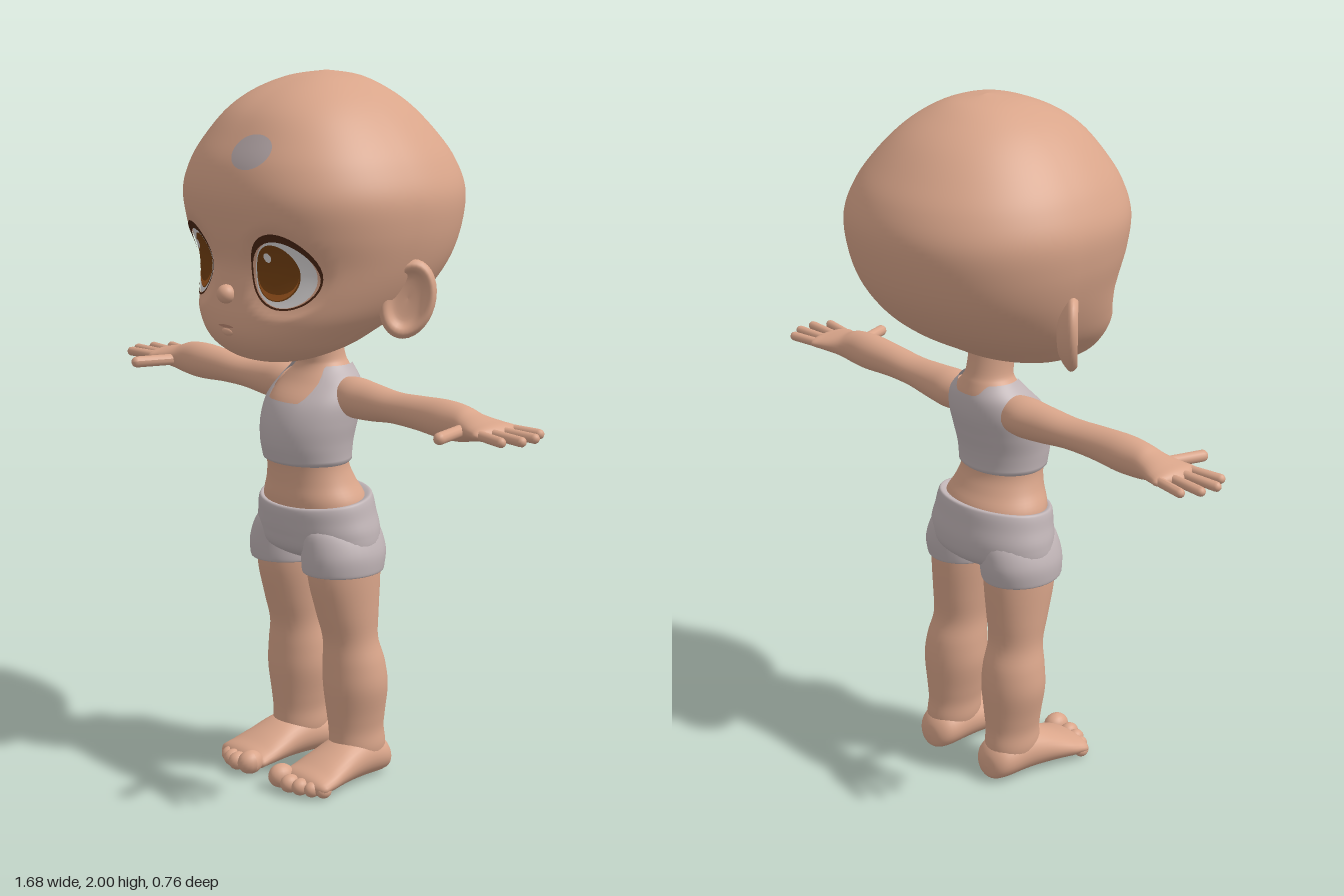
import * as THREE from 'three';

const mat = (name, color, side = THREE.FrontSide) => {
  const m = new THREE.MeshStandardMaterial({ color, side });
  m.name = name;
  return m;
};

// Smooth interpolation through a list of cross-sections, s in 0..1
function sample(secs, s) {
  const f = Math.min(Math.max(s, 0), 1) * (secs.length - 1);
  const i = Math.min(Math.floor(f), secs.length - 2), t = f - i;
  const p = k => secs[Math.min(Math.max(k, 0), secs.length - 1)];
  return secs[i].map((b, k) => {
    const a = p(i - 1)[k], c = p(i + 1)[k], d = p(i + 2)[k];
    return b + 0.5 * t * (c - a + t * (2 * a - 5 * b + 4 * c - d + t * (3 * (b - c) + d - a)));
  });
}

// Cross-section at a given height, for sections that rise steadily
function sectionAt(secs, y) {
  let lo = 0, hi = 1;
  for (let k = 0; k < 24; k++) {
    const mid = (lo + hi) / 2;
    if (sample(secs, mid)[0] < y) lo = mid; else hi = mid;
  }
  return sample(secs, lo);
}

// Grid of points closed around its columns: fn(t, angle) -> [x, y, z]
function grid(rows, cols, fn) {
  const pos = [], idx = [];
  for (let i = 0; i <= rows; i++)
    for (let j = 0; j < cols; j++) pos.push(...fn(i / rows, (j / cols) * Math.PI * 2));
  for (let i = 0; i < rows; i++)
    for (let j = 0; j < cols; j++) {
      const a = i * cols + j, b = i * cols + (j + 1) % cols;
      idx.push(a, b, b + cols, a, b + cols, a + cols);
    }
  const g = new THREE.BufferGeometry();
  g.setAttribute('position', new THREE.Float32BufferAttribute(pos, 3));
  g.setIndex(idx);
  g.computeVertexNormals();
  return g;
}

// Point on a rounded section [along, centreU, centreV, radiusU, radiusV]
function ringPoint(r, a, n = 2, grow = 0) {
  const pw = v => Math.sign(v) * Math.abs(v) ** (2 / n);
  return [r[1] + (Math.max(0, r[3]) + grow) * pw(Math.sin(a)), r[2] + (Math.max(0, r[4]) + grow) * pw(Math.cos(a))];
}

// Skin a tube over sections along one axis
function loft(axis, secs, cols = 32, steps = 5) {
  return grid((secs.length - 1) * steps, cols, (t, a) => {
    const r = sample(secs, t), [u, v] = ringPoint(r, a);
    return axis === 'y' ? [u, r[0], v] : axis === 'x' ? [r[0], v, u] : [v, u, r[0]];
  });
}

// [height, half width, back z, front z] -> section
const upright = list => list.map(([y, rx, b, f]) => [y, 0, (b + f) / 2, rx, (f - b) / 2]);

const HEAD = upright([
  [1.225, 0, 0.18, 0.2], [1.228, 0.07, 0.12, 0.25], [1.238, 0.125, 0.07, 0.287], [1.27, 0.19, -0.03, 0.328],
  [1.31, 0.235, -0.11, 0.35], [1.36, 0.28, -0.2, 0.354], [1.42, 0.315, -0.275, 0.346], [1.5, 0.347, -0.335, 0.34],
  [1.59, 0.37, -0.368, 0.362], [1.68, 0.375, -0.377, 0.375], [1.76, 0.346, -0.35, 0.357], [1.83, 0.3, -0.3, 0.318],
  [1.9, 0.235, -0.235, 0.265], [1.95, 0.168, -0.165, 0.195], [1.985, 0.09, -0.09, 0.105], [2, 0, 0, 0.01],
]);
const TORSO = upright([
  [0.76, 0.17, -0.07, 0.16], [0.82, 0.165, -0.08, 0.172], [0.87, 0.14, -0.055, 0.172], [0.92, 0.127, -0.035, 0.176],
  [0.98, 0.13, -0.038, 0.188], [1.04, 0.137, -0.052, 0.184], [1.1, 0.137, -0.066, 0.16], [1.15, 0.118, -0.066, 0.115],
  [1.19, 0.08, -0.055, 0.088], [1.22, 0.066, -0.045, 0.088], [1.3, 0.066, -0.03, 0.1],
]);

// Shallow eye socket
const socket = (x, y) => {
  const d = ((Math.abs(x) - 0.172) / 0.115) ** 2 + ((y - 1.49) / 0.125) ** 2;
  return d < 1 ? 0.018 * (1 - d * d) : 0;
};
const faceZ = (x, y) => {
  const r = sectionAt(HEAD, y);
  return r[2] + r[4] * Math.max(0, 1 - Math.abs(x / r[3]) ** 2.4) ** (1 / 2.4) - socket(x, y);
};

// Thin oval (or ring, when width < 1) lying on the face
function facePatch(cx, cy, rx, ry, lift, width = () => 1) {
  return grid(8, 40, (t, a) => {
    const k = 1 - t * width(a);
    const x = cx + rx * k * Math.cos(a), y = cy + ry * k * Math.sin(a);
    return [x, y, faceZ(x, y) + lift];
  });
}

function capsule(a, b, r) {
  const p = new THREE.Vector3(...a), q = new THREE.Vector3(...b), d = q.clone().sub(p);
  const g = new THREE.CapsuleGeometry(r, d.length(), 5, 12);
  g.applyQuaternion(new THREE.Quaternion().setFromUnitVectors(new THREE.Vector3(0, 1, 0), d.normalize()));
  return g.translate(...p.add(q).multiplyScalar(0.5).toArray());
}

function mirrored(geo) {
  const g = geo.clone().scale(-1, 1, 1), ix = g.index.array;
  for (let i = 0; i < ix.length; i += 3) [ix[i], ix[i + 1]] = [ix[i + 1], ix[i]];
  g.computeVertexNormals();
  return g;
}

export function createModel() {
  const skin = mat('skin', 0xd9a58a), cloth = mat('cloth', 0xbfb3b5, THREE.DoubleSide);
  const eyeWhite = mat('eye white', 0xdcd8d8), iris = mat('iris brown', 0x744012), amber = mat('amber', 0xa85c20);
  const lash = mat('lash brown', 0x4a2614), lip = mat('lip', 0xb98670), shine = mat('forehead patch', 0xb3a5a6);
  const root = new THREE.Group();
  root.name = 'doll';
  const add = (name, geo, m) => {
    const mesh = new THREE.Mesh(geo, m);
    mesh.name = name;
    root.add(mesh);
  };
  const pair = (name, geo, m) => {
    add(name + 'Left', geo, m);
    add(name + 'Right', mirrored(geo), m);
  };

  // Head, flatter at the front than at the back
  add('head', grid(90, 96, (t, a) => {
    const r = sample(HEAD, t), [x, z] = ringPoint(r, a, Math.cos(a) > 0 ? 2.4 : 2.05);
    return [x, r[0], z > 0.1 ? z - socket(x, r[0]) : z];
  }), skin);
  add('nose', new THREE.SphereGeometry(0.026, 20, 14).translate(0, 1.42, 0.354), skin);
  add('mouth', facePatch(0, 1.333, 0.032, 0.004, 0.003), lip);
  add('lowerLip', new THREE.SphereGeometry(1, 16, 10).scale(0.025, 0.011, 0.008).translate(0, 1.317, 0.349), skin);
  add('foreheadPatch', facePatch(0.08, 1.805, 0.065, 0.045, 0.004), shine);

  // Eyes
  pair('eyeWhite', facePatch(0.174, 1.488, 0.082, 0.09, 0.004), eyeWhite);
  pair('iris', facePatch(0.158, 1.49, 0.061, 0.076, 0.006), iris);
  pair('irisGlow', facePatch(0.158, 1.49, 0.058, 0.073, 0.0075, a => 0.22 * Math.max(0, -Math.sin(a)) ** 2), amber);
  pair('lashes', facePatch(0.177, 1.495, 0.094, 0.103, 0.008, a => 0.05 + 0.17 * Math.max(0, Math.sin(a + 0.2))), lash);
  for (const x of [-0.185, 0.138]) add('eyeSparkle', facePatch(x, 1.53, 0.011, 0.013, 0.009), eyeWhite);

  // Ears: dished ovals turned out and forward
  const ear = loft('z', [[-0.035, 0, 0, 0, 0], [-0.028, 0, 0, 0.06, 0.045], [0, 0, 0, 0.108, 0.074], [0.02, 0, 0, 0.1, 0.068],
    [0.02, 0, 0, 0.084, 0.054], [0.002, 0, 0, 0.06, 0.035], [-0.004, 0, 0, 0, 0]]);
  ear.rotateZ(-0.25).rotateY(0.78).translate(0.335, 1.412, 0);
  pair('ear', ear, skin);

  // Torso, neck and vest
  add('torso', loft('y', TORSO, 48), skin);
  add('vest', grid(36, 72, (t, a) => {
    const off = Math.min(a, Math.PI * 2 - a);
    const scoop = 0.095 * (1 - THREE.MathUtils.smoothstep(off, 0.4, 0.95));
    const back = 0.03 * THREE.MathUtils.smoothstep(off, 2.3, 2.9);
    const y = THREE.MathUtils.lerp(0.925, 1.195 - scoop - back, t);
    const r = sectionAt(TORSO, y);
    const [x, z] = ringPoint(r, a, 2, t === 0 ? 0.002 : 0.01);
    return [x, y, z];
  }), cloth);

  // Shorts: hips that dip at the front, plus two leg cuffs
  const hips = loft('y', upright([[0.64, 0, 0.03, 0.05], [0.65, 0.12, -0.05, 0.11], [0.68, 0.2, -0.1, 0.162], [0.73, 0.207, -0.113, 0.176],
    [0.78, 0.194, -0.106, 0.182], [0.815, 0.186, -0.1, 0.184], [0.828, 0.178, -0.092, 0.178], [0.822, 0.16, -0.07, 0.16]]), 48);
  const hp = hips.attributes.position;
  for (let i = 0; i < hp.count; i++)
    hp.setY(i, hp.getY(i) - 0.12 * hp.getZ(i) * THREE.MathUtils.smoothstep(hp.getY(i), 0.7, 0.82));
  hips.computeVertexNormals();
  add('shortsHips', hips, cloth);
  pair('shortsLeg', loft('y', [[0.632, 0.113, 0.038, 0.09, 0.105], [0.62, 0.114, 0.038, 0.102, 0.117], [0.632, 0.115, 0.038, 0.106, 0.123],
    [0.68, 0.114, 0.036, 0.104, 0.128], [0.74, 0.1, 0.036, 0.09, 0.12], [0.77, 0.09, 0.036, 0.06, 0.09]]), cloth);

  // Legs
  pair('leg', loft('y', [[0.05, 0.128, -0.01, 0.06, 0.075], [0.1, 0.127, -0.006, 0.072, 0.085], [0.15, 0.125, -0.003, 0.072, 0.083],
    [0.2, 0.124, -0.002, 0.08, 0.086], [0.28, 0.124, 0, 0.094, 0.091], [0.35, 0.122, 0.004, 0.09, 0.087],
    [0.42, 0.118, 0.014, 0.08, 0.078], [0.5, 0.115, 0.023, 0.085, 0.092], [0.6, 0.112, 0.032, 0.091, 0.109], [0.7, 0.11, 0.033, 0.092, 0.11]]), skin);

  // Feet and toes
  pair('foot', loft('z', [[-0.107, 0.05, 0.125, 0, 0], [-0.1, 0.05, 0.125, 0.036, 0.04], [-0.07, 0.062, 0.125, 0.056, 0.066],
    [0, 0.073, 0.128, 0.067, 0.075], [0.06, 0.067, 0.132, 0.061, 0.08], [0.12, 0.053, 0.135, 0.048, 0.088],
    [0.17, 0.041, 0.138, 0.036, 0.094], [0.21, 0.034, 0.138, 0.026, 0.088], [0.23, 0.034, 0.136, 0, 0]]), skin);
  [[0.07, 0.228, 0.034], [0.118, 0.235, 0.026], [0.154, 0.226, 0.024], [0.187, 0.211, 0.022], [0.215, 0.192, 0.02]].forEach(([x, z, r], i) =>
    pair('toe' + (i + 1), new THREE.SphereGeometry(r, 18, 14).scale(0.95, 1, 1.15).translate(x, r + 0.008, z), skin));

  // Arms and palms
  pair('arm', loft('x', [[0.06, 0.015, 1.115, 0.04, 0.045], [0.14, 0.018, 1.114, 0.06, 0.056], [0.22, 0.022, 1.113, 0.055, 0.052],
    [0.32, 0.027, 1.115, 0.05, 0.043], [0.42, 0.03, 1.118, 0.05, 0.046], [0.52, 0.03, 1.118, 0.053, 0.052],
    [0.59, 0.03, 1.117, 0.049, 0.048], [0.63, 0.03, 1.115, 0.055, 0.037], [0.68, 0.027, 1.114, 0.07, 0.027],
    [0.715, 0.026, 1.114, 0.073, 0.019], [0.735, 0.026, 1.114, 0, 0]]), skin);

  // Fingers and thumb
  [[-0.03, 0.792, -0.046], [0.008, 0.822, 0], [0.045, 0.828, 0.053], [0.08, 0.8, 0.098]].forEach(([z0, x1, z1], i) =>
    pair('finger' + (i + 1), capsule([0.69, 1.114, z0], [x1, 1.114, z1], 0.0135), skin));
  pair('thumb', capsule([0.625, 1.112, 0.07], [0.66, 1.112, 0.18], 0.0165), skin);
  return root;
}
